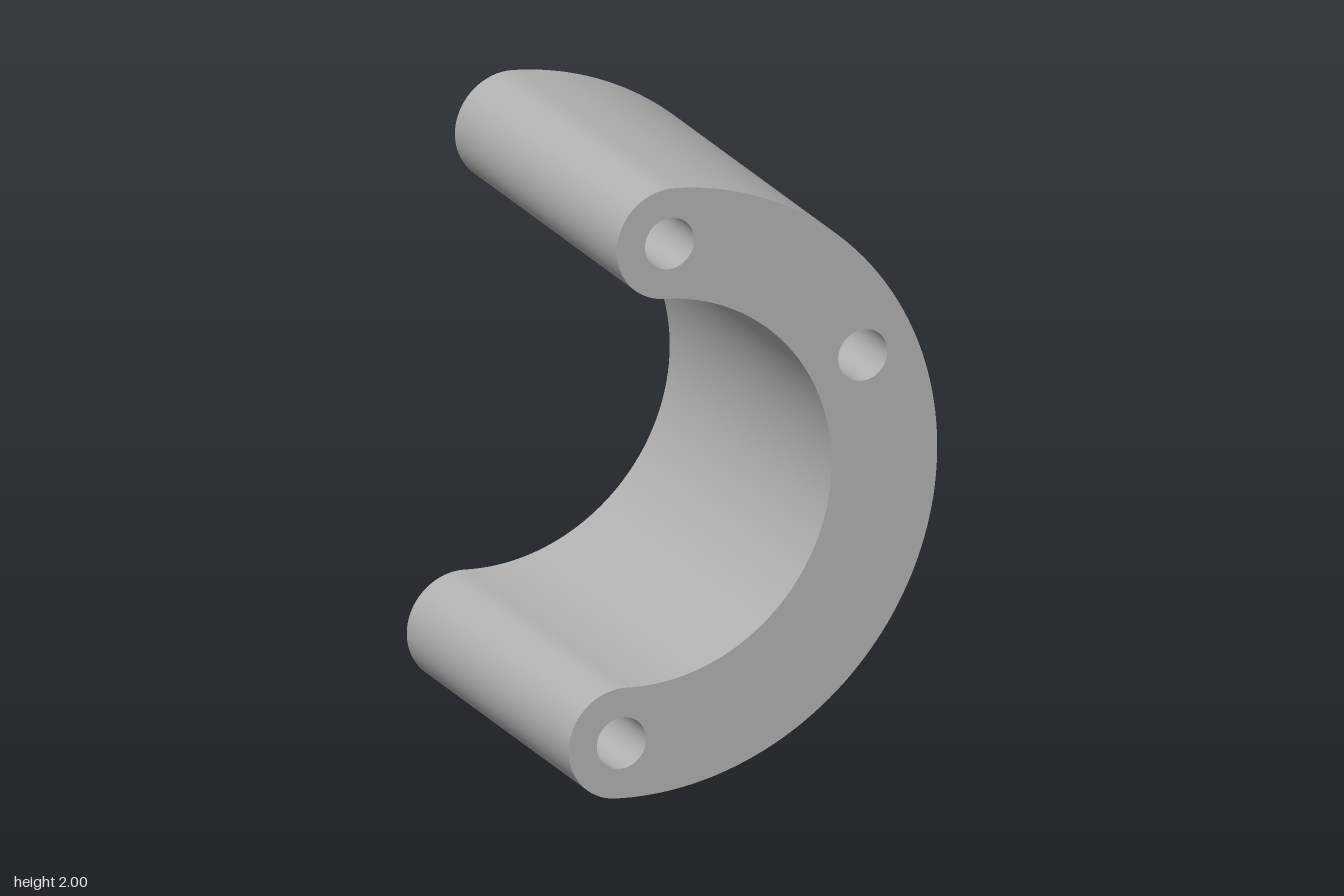
import * as THREE from 'three';
import { toCreasedNormals } from 'three/addons/utils/BufferGeometryUtils.js';

const OUTER = 1.002, INNER = 0.638, DEPTH = 1.18, HOLE = 0.085;
const MID = (OUTER + INNER) / 2, HALF = (OUTER - INNER) / 2;
const CX = -0.37, CY = OUTER;
const START = THREE.MathUtils.degToRad(-96), END = THREE.MathUtils.degToRad(84.4);
const BOLT = THREE.MathUtils.degToRad(24.6);

const polar = (x, y, r, a) => new THREE.Vector2(x + r * Math.cos(a), y + r * Math.sin(a));

// Points along an arc, leaving out the last so that arcs join without duplicates
function arc(c, r, a, b, n) {
  return Array.from({ length: n }, (_, i) => polar(c.x, c.y, r, a + (b - a) * i / n));
}

export function createModel() {
  const grey = new THREE.MeshStandardMaterial({ color: 0xb2b2b2 });
  grey.name = 'grey';

  const centre = new THREE.Vector2(CX, CY);
  const onRing = (a) => polar(CX, CY, MID, a);

  // Half-ring outline with rounded ends
  const shape = new THREE.Shape([
    ...arc(centre, OUTER, START, END, 96),
    ...arc(onRing(END), HALF, END, END + Math.PI, 32),
    ...arc(centre, INNER, END, START, 80),
    ...arc(onRing(START), HALF, START + Math.PI, START + 2 * Math.PI, 32),
  ]);

  // Bolt holes along the middle radius
  for (const a of [START, BOLT, END]) {
    shape.holes.push(new THREE.Path(arc(onRing(a), HOLE, 0, -2 * Math.PI, 40)));
  }

  const solid = new THREE.ExtrudeGeometry(shape, { depth: DEPTH, bevelEnabled: false });
  solid.translate(0, 0, -DEPTH / 2);

  const body = new THREE.Mesh(toCreasedNormals(solid, 0.6), grey);
  body.name = 'halfRingSpacer';

  const group = new THREE.Group();
  group.name = 'spacer';
  group.add(body);
  return group;
}
